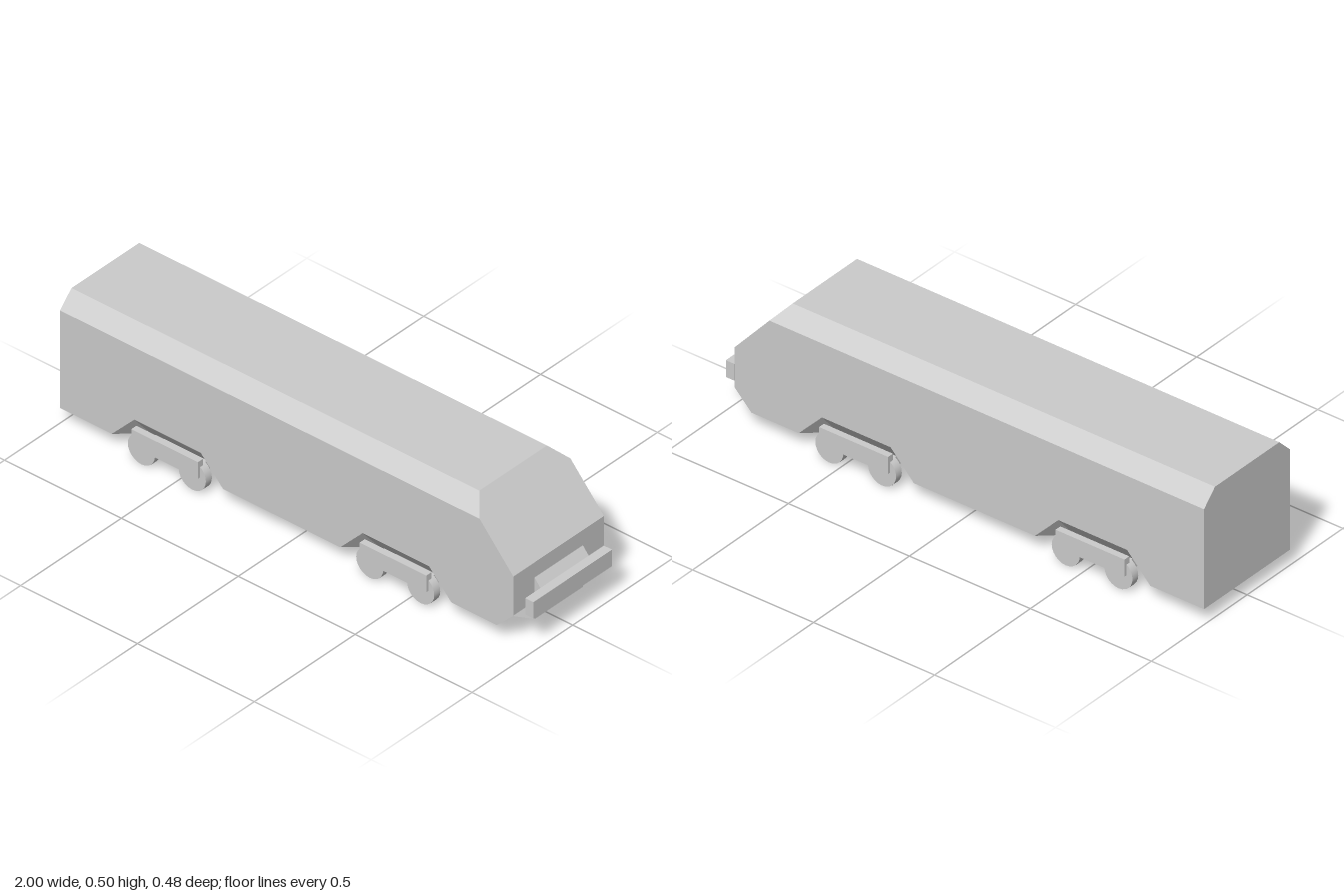
import * as THREE from 'three';

const material = new THREE.MeshStandardMaterial({ color: 0xcccccc, flatShading: true });
const smooth = new THREE.MeshStandardMaterial({ color: 0xcccccc });

// Flat polygons, each turned towards its outward direction
function facesGeometry(faces) {
  const out = [];
  for (const { pts, dir } of faces) {
    const v = pts.map((p) => new THREE.Vector3(...p));
    const d = new THREE.Vector3(...dir);
    const a = d.toArray().map(Math.abs);
    const drop = a.indexOf(Math.max(...a));
    const [i, j] = [0, 1, 2].filter((k) => k !== drop);
    const flat = pts.map((p) => new THREE.Vector2(p[i], p[j]));
    for (const [p, q, r] of THREE.ShapeUtils.triangulateShape(flat, [])) {
      const n = v[q].clone().sub(v[p]).cross(v[r].clone().sub(v[p]));
      const order = n.dot(d) > 0 ? [p, q, r] : [p, r, q];
      order.forEach((k) => out.push(...pts[k]));
    }
  }
  const g = new THREE.BufferGeometry();
  g.setAttribute('position', new THREE.Float32BufferAttribute(out, 3));
  g.computeVertexNormals();
  return g;
}

const BOGIES = [0.437, -0.54];
const LOW = 0.06, ROOF = 0.505, SHOULDER = 0.447, W = 0.225, RW = 0.168;
const WELL = { bottom: 0.238, top: 0.142, y: 0.16, inner: 0.14 };

function bodyGeometry() {
  const faces = [];
  const add = (pts, dir) => faces.push({ pts, dir });
  // A symmetric face from its +z half outline
  const across = (half, dir) =>
    add([...half, ...half.slice().reverse().map(([x, y, z]) => [x, y, -z])], dir);

  across([[-1, ROOF, RW], [0.745, ROOF, RW]], [0, 1, 0]);
  across([[0.745, ROOF, RW], [0.796, SHOULDER, W], [0.94, 0.285, W]], [1, 0.9, 0]);
  across([[0.94, 0.285, W], [0.94, 0.13, W], [0.94, 0.13, 0.12], [0.94, LOW, 0.12]], [1, 0, 0]);
  across([[-1, ROOF, RW], [-1, SHOULDER, W], [-1, LOW, W]], [-1, 0, 0]);

  // Underside with the wheel wells cut in from both edges
  const under = [[0.94, LOW, 0.12], [0.87, LOW, 0.155], [0.87, LOW, W]];
  for (const c of BOGIES) {
    under.push([c + WELL.bottom, LOW, W], [c + WELL.top, LOW, WELL.inner],
      [c - WELL.top, LOW, WELL.inner], [c - WELL.bottom, LOW, W]);
  }
  under.push([-1, LOW, W]);
  across(under, [0, -1, 0]);

  for (const s of [1, -1]) {
    const z = s * W;
    // Side wall, sloped shoulder, cut nose corner
    const side = [[-1, SHOULDER, z], [0.796, SHOULDER, z], [0.94, 0.285, z], [0.94, 0.13, z], [0.87, LOW, z]];
    for (const c of BOGIES) {
      side.push([c + WELL.bottom, LOW, z], [c + WELL.top, WELL.y, z],
        [c - WELL.top, WELL.y, z], [c - WELL.bottom, LOW, z]);
    }
    side.push([-1, LOW, z]);
    add(side, [0, 0, s]);
    add([[-1, ROOF, s * RW], [0.745, ROOF, s * RW], [0.796, SHOULDER, z], [-1, SHOULDER, z]], [0, 1, s * 0.9]);
    add([[0.94, 0.13, z], [0.94, 0.13, s * 0.12], [0.87, LOW, s * 0.155], [0.87, LOW, z]], [0.9, -1, 0]);
    add([[0.94, 0.13, s * 0.12], [0.94, LOW, s * 0.12], [0.87, LOW, s * 0.155]], [0.5, 0, s]);
    // Sloped wheel wells
    for (const c of BOGIES) {
      add([[c - WELL.top, WELL.y, z], [c + WELL.top, WELL.y, z],
        [c + WELL.top, LOW, s * WELL.inner], [c - WELL.top, LOW, s * WELL.inner]], [0, -0.85, s]);
      for (const e of [1, -1]) {
        add([[c + e * WELL.bottom, LOW, z], [c + e * WELL.top, WELL.y, z],
          [c + e * WELL.top, LOW, s * WELL.inner]], [-e * 0.6, -0.6, s]);
      }
    }
  }
  return facesGeometry(faces);
}

function mesh(parent, name, geometry, x = 0, y = 0, z = 0, mat = material) {
  const m = new THREE.Mesh(geometry, mat);
  m.name = name;
  m.position.set(x, y, z);
  parent.add(m);
  return m;
}

export function createModel() {
  const model = new THREE.Group();
  model.name = 'railCar';
  mesh(model, 'body', bodyGeometry());

  // Tapered mount and bumper beam on the nose
  const taper = new THREE.Shape([[0.94, 0.105], [0.965, 0.13], [0.965, 0.195], [0.94, 0.225]]
    .map((p) => new THREE.Vector2(...p)));
  mesh(model, 'bumperMount', new THREE.ExtrudeGeometry(taper, { depth: 0.24, bevelEnabled: false }), 0, 0, -0.12);
  mesh(model, 'bumper', new THREE.BoxGeometry(0.035, 0.065, 0.39), 0.9825, 0.1625, 0);

  // Bogies: centre block, side frames and four wheels each
  const wheel = new THREE.CylinderGeometry(0.058, 0.058, 0.03, 24).rotateX(Math.PI / 2);
  const frame = new THREE.BoxGeometry(0.285, 0.066, 0.025);
  const block = new THREE.BoxGeometry(0.22, 0.04, 0.4);
  BOGIES.forEach((c, i) => {
    const bogie = new THREE.Group();
    bogie.name = i === 0 ? 'noseBogie' : 'tailBogie';
    bogie.position.x = c;
    mesh(bogie, 'bogieBlock', block, 0, 0.057, 0);
    for (const s of [1, -1]) {
      mesh(bogie, 'sideFrame', frame, 0, 0.097, s * 0.2265);
      for (const e of [1, -1]) mesh(bogie, 'wheel', wheel, e * 0.109, 0.058, s * 0.213, smooth);
    }
    model.add(bogie);
  });
  return model;
}
